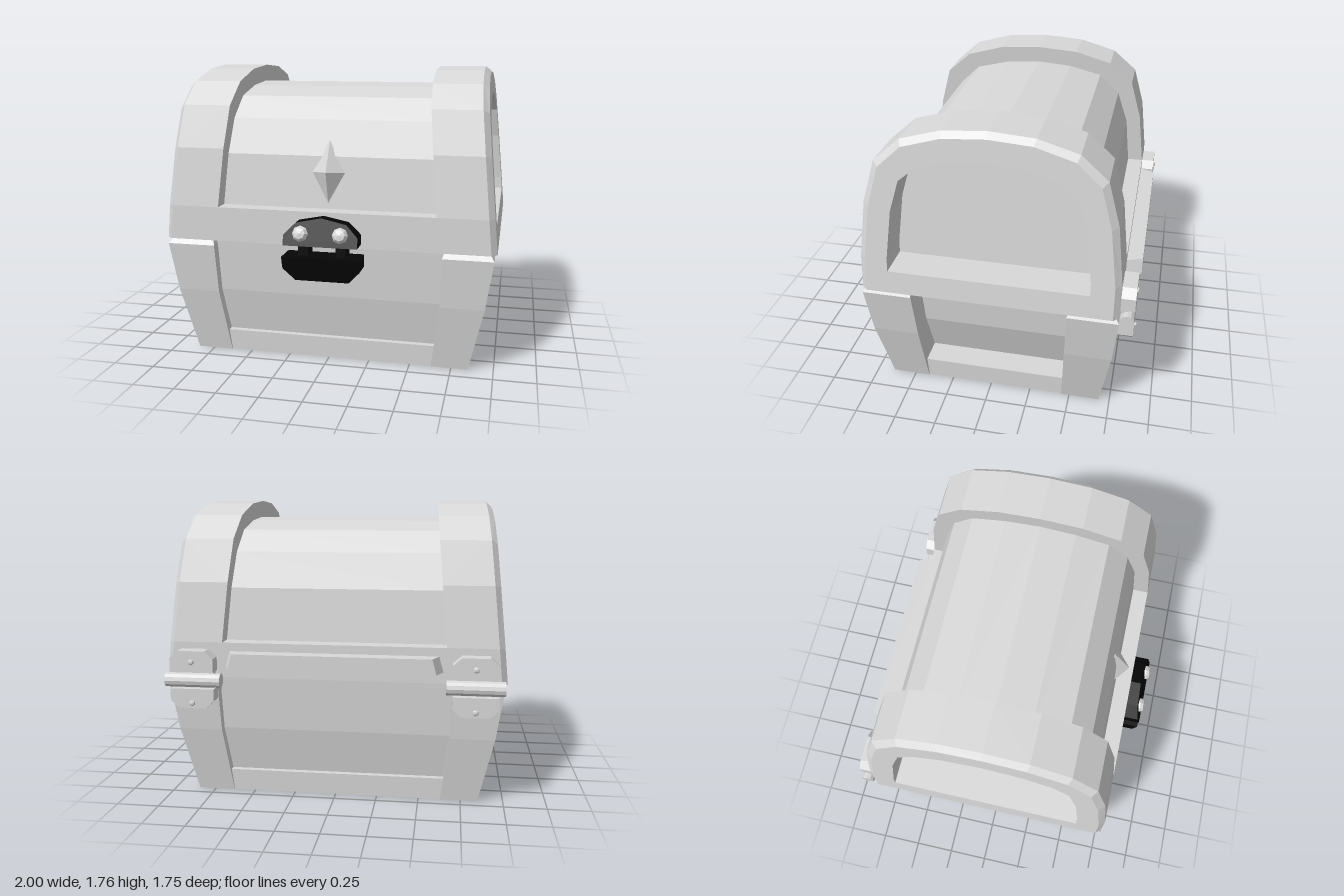
import * as THREE from 'three';

const grey = new THREE.MeshStandardMaterial({ color: 0xd8d8d8, flatShading: true });
grey.name = 'pale grey';
const black = new THREE.MeshStandardMaterial({ color: 0x060606, flatShading: true });
black.name = 'lock black';

function add(parent, name, geometry, material = grey) {
  const mesh = new THREE.Mesh(geometry, material);
  mesh.name = name;
  parent.add(mesh);
  return mesh;
}

// Flat-faced skin over closed rings of [x, y, z], with optional end caps
function loft(rings, capStart = false, capEnd = false, mirror = false) {
  const out = [];
  const tri = (a, b, c) => {
    for (const p of mirror ? [a, c, b] : [a, b, c]) out.push(mirror ? -p[0] : p[0], p[1], p[2]);
  };
  const n = rings[0].length;
  for (let i = 0; i + 1 < rings.length; i++) {
    for (let j = 0; j < n; j++) {
      const k = (j + 1) % n;
      const a = rings[i][j], b = rings[i][k], c = rings[i + 1][k], d = rings[i + 1][j];
      tri(a, b, c);
      tri(a, c, d);
    }
  }
  const first = rings[0], last = rings[rings.length - 1];
  for (let j = 1; j + 1 < n; j++) {
    if (capStart) tri(first[0], first[j + 1], first[j]);
    if (capEnd) tri(last[0], last[j], last[j + 1]);
  }
  const g = new THREE.BufferGeometry();
  g.setAttribute('position', new THREE.Float32BufferAttribute(out, 3));
  g.computeVertexNormals();
  return g;
}

// Horizontal rectangle ring
const rect = (y, x0, x1, z0, z1) => [[x1, y, z1], [x1, y, z0], [x0, y, z0], [x0, y, z1]];
const centred = (y, hx, hz) => rect(y, -hx, hx, -hz, hz);

// Arch ring from half-profile points [halfDepth, y], running back, top, front
function arch(half, xAt) {
  const back = half.map(([h, y]) => [xAt(y), y, -h]);
  const front = half.slice(0, -1).reverse().map(([h, y]) => [xAt(y), y, h]);
  return [...back, ...front];
}

function extrude(points, depth) {
  const shape = new THREE.Shape(points.map(([x, y]) => new THREE.Vector2(x, y)));
  return new THREE.ExtrudeGeometry(shape, { depth, bevelEnabled: false });
}

function rivet(r, h, sides = 8) {
  const pts = [[r, -h], [r, h * 0.3], [r * 0.7, h * 0.8], [0, h]];
  return new THREE.LatheGeometry(pts.map(([x, y]) => new THREE.Vector2(x, y)), sides);
}

function buildBody() {
  const body = new THREE.Group();
  body.name = 'body';
  add(body, 'bodyPanels', loft([
    centred(0.13, 0.69, 0.625), centred(0.4, 0.78, 0.675), centred(0.735, 0.815, 0.7),
  ], true, true));
  // Base frame, open underneath, with near-upright sides
  add(body, 'baseFrame', loft([
    centred(0.13, 0.63, 0.43), centred(0, 0.63, 0.43), centred(0, 0.843, 0.656),
    centred(0.13, 0.85, 0.662), centred(0.13, 0.63, 0.43),
  ]));
  // Four bowed corner posts: y, inner x, outer x, inner z, outer z
  const levels = [
    [0, 0.63, 0.85, 0.43, 0.663], [0.4, 0.68, 0.94, 0.45, 0.73],
    [0.7, 0.69, 0.985, 0.463, 0.76], [0.73, 0.7, 0.965, 0.473, 0.74],
  ];
  for (const sx of [1, -1]) for (const sz of [1, -1]) {
    const rings = levels.map(([y, xi, xo, zi, zo]) =>
      rect(y, sx > 0 ? xi : -xo, sx > 0 ? xo : -xi, sz > 0 ? zi : -zo, sz > 0 ? zo : -zi));
    add(body, 'cornerPost', loft(rings, true, true));
  }
  return body;
}

function buildLid() {
  const lid = new THREE.Group();
  lid.name = 'lid';
  const outer = [[0.76, 0.733], [0.76, 0.94], [0.72, 1.29], [0.65, 1.54], [0.495, 1.675], [0.26, 1.742], [0, 1.76]];
  const rim = [[0.725, 0.733], [0.725, 0.94], [0.683, 1.28], [0.618, 1.515], [0.48, 1.643], [0.25, 1.71], [0, 1.727]];
  const opening = [[0.59, 0.873], [0.59, 0.95], [0.555, 1.255], [0.5, 1.445], [0.41, 1.52], [0.235, 1.577], [0, 1.6]];
  const barrel = [[0.66, 0.733], [0.66, 0.94], [0.63, 1.25], [0.56, 1.46], [0.43, 1.585], [0.22, 1.637], [0, 1.655]];
  const inX = y => 0.655 - Math.max(0, y - 0.94) * 0.09;
  const outX = y => 1 - (y - 0.735) * 0.095;
  const panelX = y => 0.77 - (y - 0.87) * 0.08;

  add(lid, 'barrelTop', loft([arch(barrel, () => -0.66), arch(barrel, () => 0.66)], true, true));
  // End hoops with chamfered rim and sunken end panel
  for (const mirror of [false, true]) {
    add(lid, 'endHoop', loft([
      arch(barrel, inX), arch(outer, inX), arch(outer, y => outX(y) - 0.033),
      arch(rim, outX), arch(opening, outX), arch(opening, panelX),
    ], false, true, mirror));
  }
  add(lid, 'lidRail', new THREE.BoxGeometry(1.31, 0.207, 1.52)).position.y = 0.8365;
  return lid;
}

function buildLock() {
  const lock = new THREE.Group();
  lock.name = 'lock';
  // Plate whose front face slopes with height
  const plate = (name, pts, frontAt) => {
    const g = extrude(pts, 1), p = g.attributes.position;
    for (let i = 0; i < p.count; i++) p.setZ(i, p.getZ(i) > 0.5 ? frontAt(p.getY(i)) : 0.7);
    g.computeVertexNormals();
    add(lock, name, g, black);
  };
  plate('hasp', [[-0.22, 0.76], [0.22, 0.76], [0.22, 0.82], [0.15, 0.89], [0, 0.92],
    [-0.15, 0.89], [-0.22, 0.82]], y => 0.855 - (y - 0.76) * 0.3);
  plate('lockPlate', [[-0.16, 0.54], [0.16, 0.54], [0.23, 0.615], [0.23, 0.69], [-0.23, 0.69],
    [-0.23, 0.615]], y => 0.805 + (y - 0.54) * 0.33);
  for (const s of [1, -1]) {
    add(lock, 'haspStem', new THREE.BoxGeometry(0.06, 0.12, 0.1), black).position.set(s * 0.112, 0.725, 0.75);
    const r = add(lock, 'lockRivet', rivet(0.047, 0.037));
    r.position.set(s * 0.118, 0.829, 0.833);
    r.rotation.x = Math.PI / 2 - 0.29;
  }
  return lock;
}

function buildHinge(side) {
  const hinge = new THREE.Group();
  hinge.name = 'hinge';
  for (const s of [1, -1]) {
    const leaf = add(hinge, 'hingeLeaf', extrude(s > 0
      ? [[-0.13, 0.055], [0.13, 0.055], [0.13, 0.135], [0.08, 0.18], [-0.08, 0.18], [-0.13, 0.135]]
      : [[-0.13, -0.045], [-0.13, -0.115], [-0.08, -0.16], [0.08, -0.16], [0.13, -0.115], [0.13, -0.045]], 0.14));
    leaf.position.z = -0.04;
    const r = add(hinge, 'hingeRivet', rivet(0.018, 0.012, 6));
    r.position.set(0, s > 0 ? 0.115 : -0.13, -0.041);
    r.rotation.x = -Math.PI / 2;
  }
  add(hinge, 'hingeWeb', new THREE.BoxGeometry(0.24, 0.14, 0.06)).position.z = 0.03;
  add(hinge, 'hingePin', new THREE.CylinderGeometry(0.043, 0.043, 0.33, 12)).rotation.z = Math.PI / 2;
  hinge.position.set(side * 0.82, 0.72, -0.822);
  return hinge;
}

export function createModel() {
  const chest = new THREE.Group();
  chest.name = 'chest';
  const shell = new THREE.Group();
  shell.name = 'shell';
  shell.position.z = -0.02;
  shell.add(buildBody(), buildLid());
  chest.add(shell, buildLock(), buildHinge(1), buildHinge(-1));

  // Raised diamond on the lid front
  const pts = [[0.11, -0.04], [0.11, 0], [0.1, 0.006], [0, 0.085]].map(([x, y]) => new THREE.Vector2(x, y));
  const gem = new THREE.LatheGeometry(pts, 4).rotateX(Math.PI / 2).scale(1, 1.7, 1).rotateX(-0.13);
  add(chest, 'diamond', gem).position.set(0, 1.155, 0.612);

  // Handle bar across the back of the lid, with sloping ends
  const bar = (y, w) => [[w, y, -0.77], [w - 0.04, y, -0.872], [0.04 - w, y, -0.872], [-w, y, -0.77]];
  add(chest, 'backBar', loft([bar(0.8, 0.64), bar(0.89, 0.615)], true, true));
  return chest;
}
